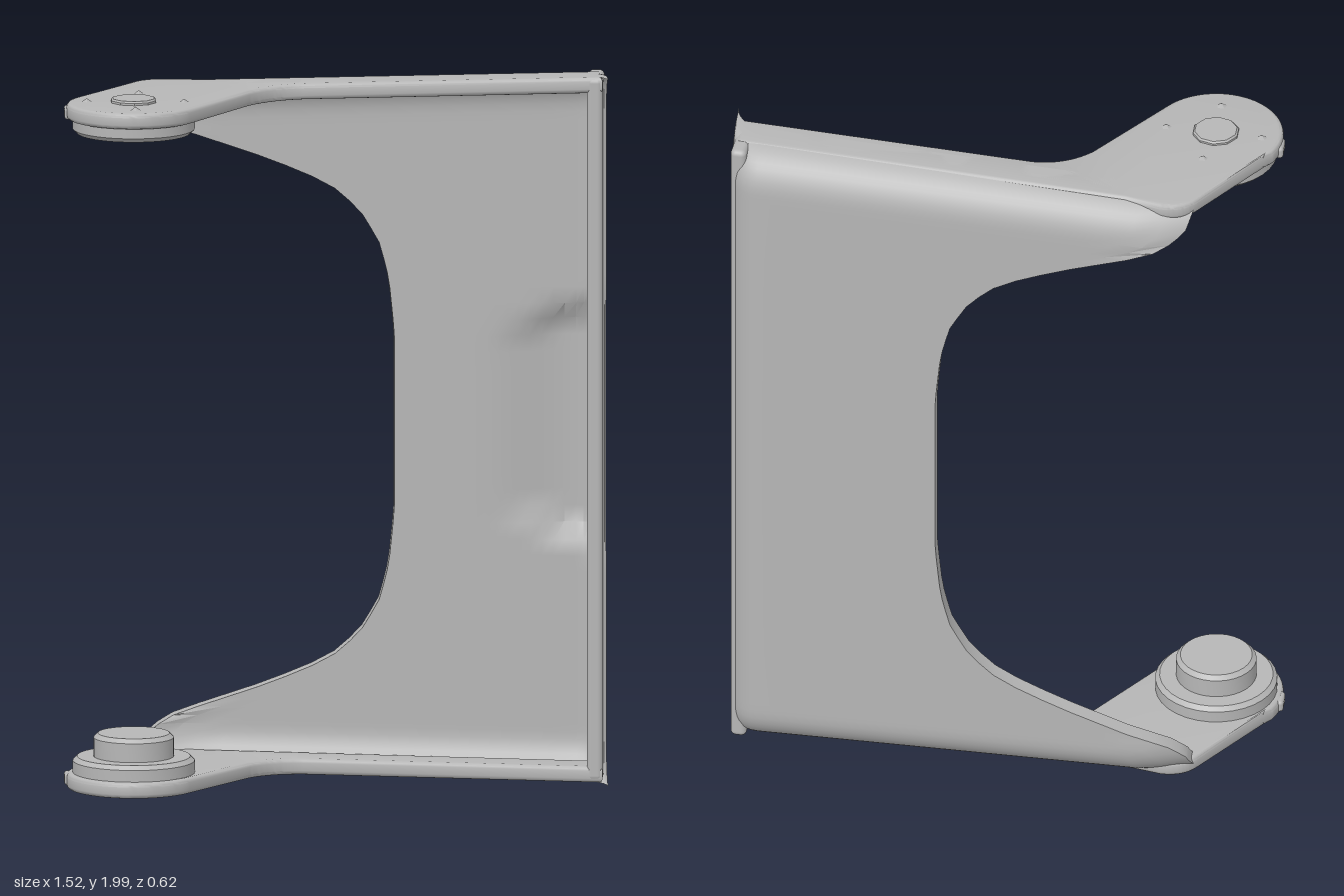
import * as THREE from 'three';
import { toCreasedNormals } from 'three/addons/utils/BufferGeometryUtils.js';
import { RoundedBoxGeometry } from 'three/addons/geometries/RoundedBoxGeometry.js';

const metal = new THREE.MeshStandardMaterial({ color: 0xb6b6b6 });
metal.name = 'grey metal';

const lerp = THREE.MathUtils.lerp;
const smooth = THREE.MathUtils.smoothstep;

// outer top and bottom heights: the bracket grows slightly taller towards +x
const run = (x) => (Math.max(x, -0.42) + 0.42) / 1.17;
const topY = (x) => 1.965 + 0.033 * run(x);
const bottomY = (x) => 0.03 - 0.025 * run(x);

function add(group, name, geometry, x = 0, y = 0, z = 0) {
  const mesh = new THREE.Mesh(geometry, metal);
  mesh.name = name;
  mesh.position.set(x, y, z);
  group.add(mesh);
  return mesh;
}

// inner edge of the wide cut-out, as (distance from the nearer end, x)
const EDGE = [[0.02, -0.56], [0.1, -0.53], [0.15, -0.47], [0.2, -0.33], [0.25, -0.19], [0.3, -0.07],
  [0.35, 0.02], [0.42, 0.085], [0.5, 0.13], [0.6, 0.155], [0.75, 0.17], [1, 0.17]];
function innerX(y) {
  const d = Math.min(y, 2 - y);
  let i = 1;
  while (i < EDGE.length - 1 && EDGE[i][0] < d) i++;
  const [d0, x0] = EDGE[i - 1], [d1, x1] = EDGE[i];
  return lerp(x0, x1, THREE.MathUtils.clamp((d - d0) / (d1 - d0), 0, 1));
}

// rear face depth with rounded bends at the top, bottom and right
function backZ(x, y) {
  let z = -0.31 + 0.074 * (x + 0.42);
  const bend = Math.max(0, 1 - (Math.min(y, 2 - y) - 0.02) / 0.11);
  z += 0.11 * (1 - Math.sqrt(Math.max(0, 1 - bend * bend)));
  const corner = Math.max(0, (x - 0.675) / 0.08);
  z += 0.08 * (1 - Math.sqrt(Math.max(0, 1 - corner * corner)));
  return z + 0.4 * Math.max(0, -0.42 - x);
}

// front face of the panel, with a shallow sloping recess by the right wall
function frontZ(x, y) {
  const inBand = 1 - smooth(Math.abs(y - 1), 0.22 + 0.3 * (x - 0.44), 0.26 + 0.3 * (x - 0.44));
  const dip = 0.038 * smooth(x, 0.42, 0.66) * inBand;
  return backZ(x, y) + 0.05 - dip;
}

// curved panel lofted from closed horizontal sections
function panelGeometry() {
  const rows = 64, cols = 16, bends = 6;
  const positions = [], index = [];
  const count = 2 * (cols + bends + 1);
  for (let i = 0; i <= rows; i++) {
    const y = 1 - 0.98 * Math.cos((Math.PI * i) / rows);
    const xs = [];
    for (let j = 0; j <= cols; j++) xs.push(lerp(innerX(y), 0.675, j / cols));
    for (let j = 1; j <= bends; j++) xs.push(0.675 + 0.08 * Math.sin((Math.PI / 2) * j / bends));
    const put = (x, z) => positions.push(x, lerp(bottomY(x), topY(x), (y - 0.02) / 1.96), z);
    xs.forEach((x) => put(x, frontZ(x, y)));
    xs.reverse().forEach((x) => put(x, backZ(x, y)));
  }
  for (let i = 0; i < rows; i++) {
    for (let j = 0; j < count; j++) {
      const a = i * count + j, b = i * count + ((j + 1) % count);
      index.push(a, b, b + count, a, b + count, a + count);
    }
  }
  // close both ends
  const last = rows * count;
  for (let j = 0; j < count / 2 - 1; j++) {
    const k = count - 1 - j;
    index.push(j, k, k - 1, j, k - 1, j + 1);
    index.push(last + j, last + j + 1, last + k - 1, last + j, last + k - 1, last + k);
  }
  const g = new THREE.BufferGeometry();
  g.setAttribute('position', new THREE.Float32BufferAttribute(positions, 3));
  g.setIndex(index);
  return toCreasedNormals(g, 0.7);
}

// flange and bent arm in one outline, ending in a round pad
function flangeGeometry(isTop) {
  const s = new THREE.Shape();
  const bevel = 0.012;
  s.moveTo(0.73, 0.045);
  s.lineTo(0.73, 0.13);
  s.lineTo(-0.36, 0.225);
  s.lineTo(-0.46, 0.25);
  s.quadraticCurveTo(-0.52, 0.255, -0.55, 0.21);
  s.lineTo(-0.72, -0.03);
  s.absarc(-0.57, -0.12, 0.175, 2.6, 5.65, false);
  s.lineTo(-0.25, 0.03);
  s.quadraticCurveTo(-0.18, 0.11, -0.08, 0.11);
  s.closePath();
  const g = new THREE.ExtrudeGeometry(s, {
    depth: 0.045 - 2 * bevel, bevelEnabled: true, bevelThickness: bevel,
    bevelSize: bevel, bevelSegments: 3, curveSegments: 20,
  });
  g.rotateX(-Math.PI / 2);
  const p = g.attributes.position;
  for (let i = 0; i < p.count; i++) {
    const x = p.getX(i), y = p.getY(i) + bevel;
    p.setY(i, isTop ? topY(x) - 0.045 + y : bottomY(x) + y);
  }
  return toCreasedNormals(g, 0.7);
}

// rounded disc turned from a small profile
function disc(radius, height, round, sides = 32) {
  const pts = [[0, 0], [radius - round, 0], [radius, round], [radius, height - round],
    [radius - round, height], [0, height]].map(([x, y]) => new THREE.Vector2(x, y));
  return toCreasedNormals(new THREE.LatheGeometry(pts, sides), 0.5);
}

export function createModel() {
  const model = new THREE.Group();
  model.name = 'bracket';
  add(model, 'backPanel', panelGeometry());

  // right wall with a rounded front lip
  const wall = add(model, 'rightWall', new RoundedBoxGeometry(0.045, 1.985, 0.16, 3, 0.015), 0.726, 1.0025, -0.112);
  wall.rotation.y = -0.08;

  add(model, 'topFlange', flangeGeometry(true));
  add(model, 'bottomFlange', flangeGeometry(false));

  // mounting pads on the inner sides of the arms
  const px = -0.57, pz = 0.12;
  add(model, 'topPad', disc(0.17, 0.07, 0.012), px, 1.88, pz);
  add(model, 'bottomPad', disc(0.17, 0.07, 0.012), px, 0.05, pz);
  add(model, 'bottomBoss', disc(0.112, 0.08, 0.012), px, 0.105, pz);

  // low screw heads and small nubs around them
  add(model, 'topScrew', disc(0.065, 0.016, 0.005, 10), px, 1.96, 0.11);
  add(model, 'topPadScrew', disc(0.05, 0.012, 0.004, 10), px, 1.872, pz);
  add(model, 'bottomScrew', disc(0.065, 0.012, 0.004, 10), px, 0.024, 0.11);
  for (const [x, z] of [[-0.55, -0.02], [-0.7, 0.1], [-0.43, 0.12], [-0.57, 0.24]]) {
    add(model, 'topNub', new THREE.ConeGeometry(0.02, 0.012, 5), x, 1.968, z);
  }
  for (const y of [0.055, 1.935]) {
    add(model, 'sideTab', new RoundedBoxGeometry(0.05, 0.035, 0.06, 2, 0.01), -0.738, y, 0.1);
  }
  return model;
}
